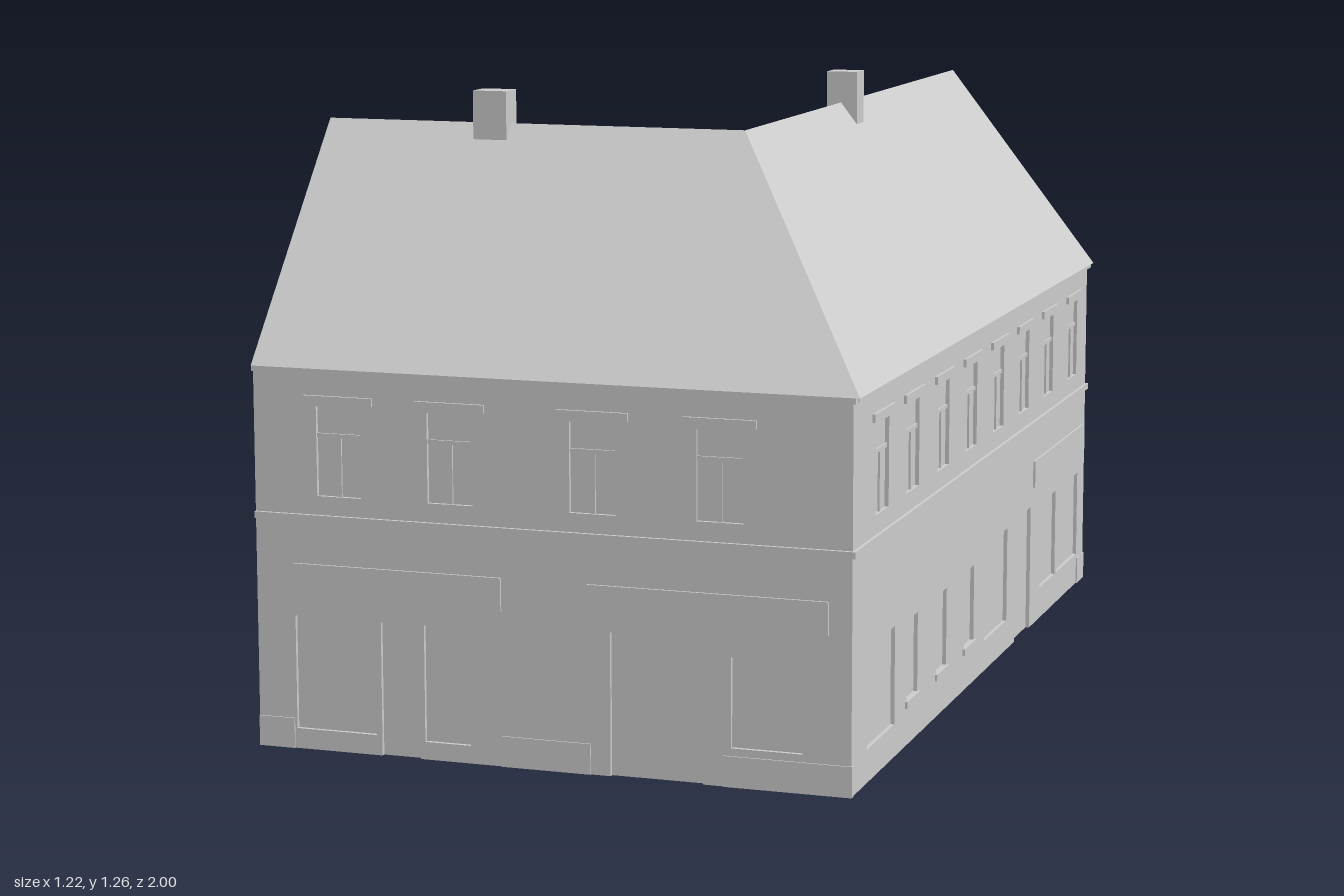
import * as THREE from 'three';

const stone = new THREE.MeshStandardMaterial({ color: 0xcccccc });
stone.name = 'pale grey';

const EAVE = 0.755, RIDGE = 1.2, SKIN = 0.008;

function add(parent, name, geometry) {
  const mesh = new THREE.Mesh(geometry, stone);
  mesh.name = name;
  parent.add(mesh);
  return mesh;
}

// Plate on a facade: u0..u1 across, v0..v1 up, w0..w1 outwards
function plate(parent, name, u0, u1, v0, v1, w0, w1) {
  const mesh = add(parent, name, new THREE.BoxGeometry(u1 - u0, v1 - v0, w1 - w0));
  mesh.position.set((u0 + u1) / 2, (v0 + v1) / 2, (w0 + w1) / 2);
}

// Thin wall layer with recessed windows and doors, plus its trim
function facade(name, spec) {
  const group = new THREE.Group();
  group.name = name;
  const { u0, u1, trimEnd, heads, windows, doors, sills, signs, plinths } = spec;

  // Outline, notched at the doors
  const wall = new THREE.Shape();
  wall.moveTo(u0, 0);
  for (const [a, b, top] of doors) {
    wall.lineTo(a, 0);
    wall.lineTo(a, top);
    wall.lineTo(b, top);
    wall.lineTo(b, 0);
  }
  wall.lineTo(u1, 0);
  wall.lineTo(u1, EAVE - 0.005);
  wall.lineTo(u0, EAVE - 0.005);

  // Upper windows sit below their heads
  const upper = heads.map(c => [c - 0.046, c + 0.046, 0.505, 0.68]);
  for (const [a, b, c, d] of [...upper, ...windows]) {
    const hole = new THREE.Path();
    hole.moveTo(a, c);
    hole.lineTo(a, d);
    hole.lineTo(b, d);
    hole.lineTo(b, c);
    hole.closePath();
    wall.holes.push(hole);
  }
  add(group, 'wallFace', new THREE.ExtrudeGeometry(wall, { depth: SKIN, bevelEnabled: false }));

  // T-shaped glazing bars and window heads
  for (const [a, b, c, d] of upper) {
    const m = (a + b) / 2, t = c + (d - c) * 0.68;
    plate(group, 'transom', a, b, t - 0.004, t + 0.004, 0, 0.004);
    plate(group, 'mullion', m - 0.004, m + 0.004, c, t, 0, 0.004);
    plate(group, 'windowHead', m - 0.072, m + 0.072, 0.686, 0.702, 0, SKIN + 0.006);
  }
  for (const [a, b, v] of sills) plate(group, 'sill', a, b, v, v + 0.014, 0, SKIN + 0.005);
  for (const [a, b, c, d] of signs) plate(group, 'fasciaBoard', a, b, c, d, 0, SKIN + 0.005);
  for (const [a, b] of plinths) plate(group, 'plinth', a, b, 0, 0.06, 0, SKIN + 0.003);

  // Continuous mouldings
  plate(group, 'stringCourse', u0, trimEnd, 0.455, 0.468, 0, SKIN + 0.007);
  plate(group, 'cornice', u0, trimEnd, 0.744, EAVE, 0, SKIN + 0.009);
  return group;
}

function roofGeometry() {
  const A = [-0.61, EAVE, 1], B = [0.61, EAVE, 1], C = [0.61, EAVE, -1];
  const D = [-0.07, EAVE, -1], E = [-0.07, EAVE, 0.22], F = [-0.61, EAVE, 0.22];
  const P = [-0.61, RIDGE, 0.61], Q = [0.265, RIDGE, 0.61], R = [0.265, RIDGE, -1];
  const faces = [
    A, B, Q, A, Q, P, // front slope
    B, C, R, B, R, Q, // street side slope
    D, E, Q, D, Q, R, // courtyard slope of long wing
    E, F, P, E, P, Q, // courtyard slope of short wing
    F, A, P, C, D, R, // gables
    A, F, E, A, E, B, B, E, D, B, D, C, // underside
  ];
  const geo = new THREE.BufferGeometry();
  geo.setAttribute('position', new THREE.Float32BufferAttribute(faces.flat(), 3));
  geo.computeVertexNormals();
  return geo;
}

export function createModel() {
  const model = new THREE.Group();
  model.name = 'cornerBuilding';

  // L-shaped core, drawn in x and -z
  const plan = new THREE.Shape([
    [-0.61, -0.982], [0.587, -0.982], [0.587, 1], [-0.07, 1], [-0.07, -0.22], [-0.61, -0.22],
  ].map(([x, y]) => new THREE.Vector2(x, y)));
  const core = new THREE.ExtrudeGeometry(plan, { depth: EAVE, bevelEnabled: false });
  add(model, 'core', core.rotateX(-Math.PI / 2));
  add(model, 'roof', roofGeometry());

  // Front facade, u = x
  const front = facade('frontFacade', {
    u0: -0.61, u1: 0.595, trimEnd: 0.602,
    heads: [-0.433, -0.203, 0.086, 0.338],
    windows: [[-0.53, -0.36, 0.04, 0.265], [-0.26, -0.165, 0.035, 0.265], [0.36, 0.5, 0.075, 0.25]],
    doors: [[-0.35, -0.27, 0.265], [0.12, 0.305, 0.28]],
    sills: [],
    signs: [[-0.53, -0.1, 0.305, 0.37], [0.075, 0.55, 0.305, 0.37]],
    plinths: [[-0.61, -0.535], [-0.1, 0.08], [0.345, 0.597]],
  });
  front.position.z = 0.982;

  // Side facade, u = -z
  const side = facade('sideFacade', {
    u0: -0.982, u1: 1, trimEnd: 1,
    heads: [-0.79, -0.567, -0.333, -0.103, 0.133, 0.367, 0.605, 0.853],
    windows: [
      [-0.885, -0.69, 0.065, 0.26],
      ...[-0.56, -0.333, -0.105].map(c => [c - 0.04, c + 0.04, 0.09, 0.25]),
      [0.03, 0.23, 0.065, 0.27], [0.55, 0.7, 0.07, 0.265], [0.72, 0.93, 0.07, 0.265],
    ],
    doors: [[0.305, 0.45, 0.275]],
    sills: [[-0.61, -0.51, 0.076], [-0.382, -0.285, 0.076], [-0.155, -0.055, 0.076]],
    signs: [[0.47, 0.98, 0.315, 0.375]],
    plinths: [[0.93, 1]],
  });
  side.rotation.y = Math.PI / 2;
  side.position.x = 0.587;
  model.add(front, side);

  // Chimneys straddling the ridges
  for (const [x, z, w, d] of [[-0.255, 0.61, 0.07, 0.055], [0.267, -0.08, 0.066, 0.052]]) {
    add(model, 'chimney', new THREE.BoxGeometry(w, 0.125, d)).position.set(x, 1.2025, z);
  }
  return model;
}
